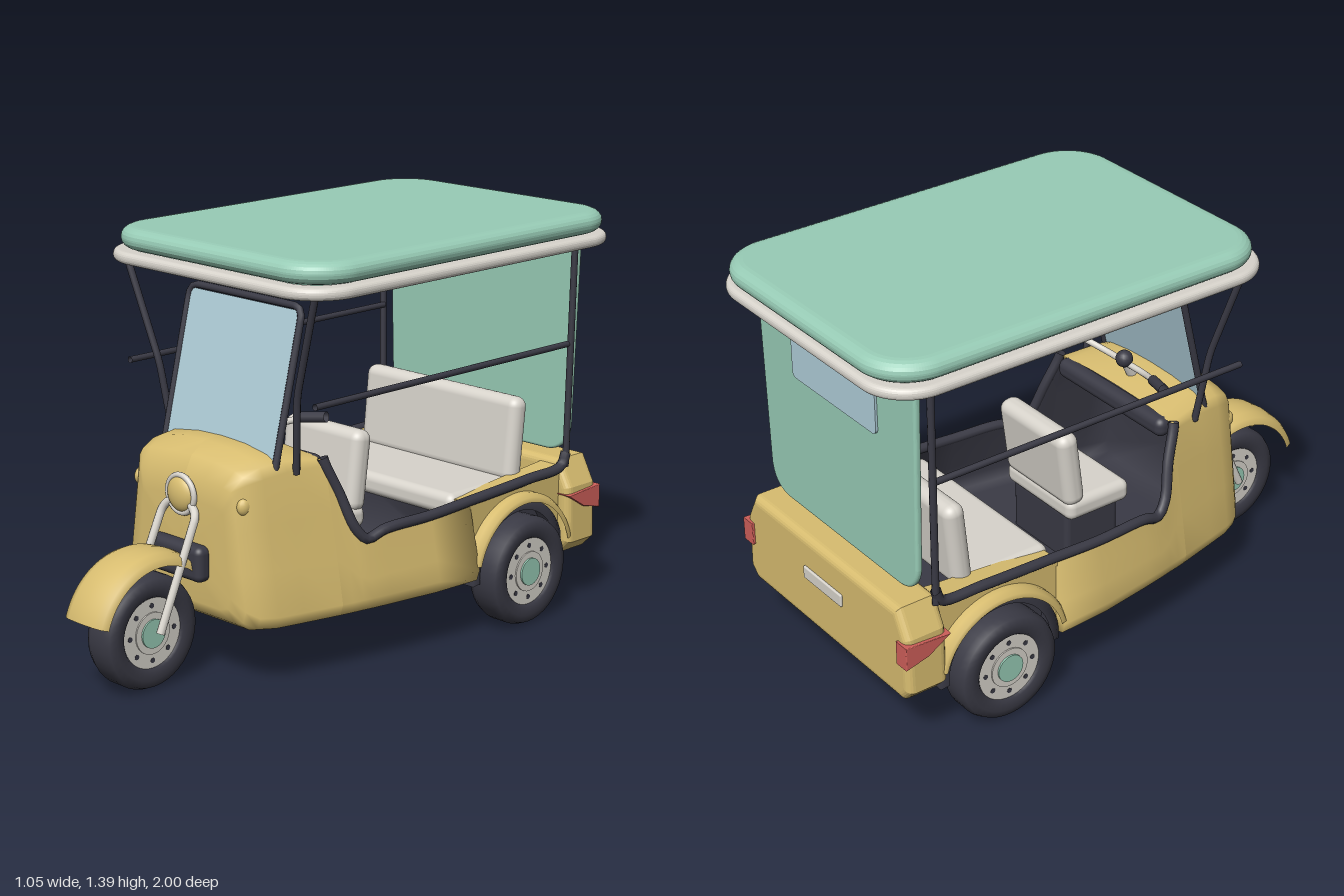
import * as THREE from 'three';
import { RoundedBoxGeometry } from 'three/addons/geometries/RoundedBoxGeometry.js';

const mat = (name, color) => {
  const m = new THREE.MeshStandardMaterial({ color, side: THREE.DoubleSide });
  m.name = name;
  return m;
};
const V = (x, y, z) => new THREE.Vector3(x, y, z);

export function createModel() {
  const model = new THREE.Group();
  model.name = 'threeWheeler';
  const ochre = mat('ochrePaint', 0xd8bd70), teal = mat('tealCanvas', 0x98ccb6);
  const pale = mat('paleGrey', 0xd8d4cc), dark = mat('darkGrey', 0x3a3a45);
  const glass = mat('paleGlass', 0xb0ced9), red = mat('lampRed', 0xd0605a);

  const add = (name, geo, material, x = 0, y = 0, z = 0, parent = model) => {
    const m = new THREE.Mesh(geo, material);
    m.name = name;
    m.position.set(x, y, z);
    parent.add(m);
    return m;
  };
  // Builds a left part and its mirror image
  const pair = (name, build) => {
    for (const s of [1, -1]) {
      const g = new THREE.Group();
      g.name = (s > 0 ? 'left' : 'right') + name;
      g.scale.x = s;
      build(g);
      model.add(g);
    }
  };
  const box = (name, w, h, d, r, material, x, y, z, tilt = 0) => {
    const m = add(name, new RoundedBoxGeometry(w, h, d, 4, r), material, x, y, z);
    m.rotation.x = tilt;
    return m;
  };
  // Tube along straight runs with rounded bends
  const rod = (name, pts, r, material, parent = model, bend = 0.04) => {
    const path = new THREE.CurvePath();
    let from = pts[0];
    for (let i = 1; i < pts.length; i++) {
      const p = pts[i];
      if (i === pts.length - 1) { path.add(new THREE.LineCurve3(from, p)); break; }
      const a = p.clone().add(from.clone().sub(p).setLength(bend));
      const b = p.clone().add(pts[i + 1].clone().sub(p).setLength(bend));
      path.add(new THREE.LineCurve3(from, a));
      path.add(new THREE.QuadraticBezierCurve3(a, p, b));
      from = b;
    }
    return add(name, new THREE.TubeGeometry(path, pts.length > 2 ? 70 : 2, r, 10), material, 0, 0, 0, parent);
  };
  // Lathe about the x axis; angles run from +z up to +y
  const spin = (profile, start = 0, sweep = Math.PI * 2) =>
    new THREE.LatheGeometry(profile.map(p => new THREE.Vector2(...p)), 40, start, sweep).rotateZ(Math.PI / 2);
  const roundRect = (w, h, r) => {
    const s = new THREE.Shape();
    s.moveTo(w, h - r).absarc(w - r, h - r, r, 0, Math.PI / 2);
    s.absarc(r - w, h - r, r, Math.PI / 2, Math.PI);
    s.absarc(r - w, r - h, r, Math.PI, Math.PI * 1.5);
    s.absarc(w - r, r - h, r, Math.PI * 1.5, Math.PI * 2);
    return s;
  };
  const poly = pts => new THREE.Shape(pts.map(p => new THREE.Vector2(...p)));
  const extrude = (shape, depth, bevel = 0, size = bevel) => new THREE.ExtrudeGeometry(shape, {
    depth, bevelEnabled: bevel > 0, bevelThickness: bevel, bevelSize: size, bevelSegments: 5, curveSegments: 16 });

  // Body: cross-sections [z, bottom, floor half width, shoulder half width, shoulder height, crown]
  const section = ([z, yb, wb, ws, ys, yt]) => {
    const h = [[0, yb], [wb - 0.05, yb], [wb - 0.012, yb + 0.012], [wb, yb + 0.05]];
    for (const t of [0.33, 0.66, 1]) h.push([wb + (ws - wb) * t, yb + 0.05 + (ys - yb - 0.05) * t]);
    if (yt !== undefined) for (const [a, b] of [[0.94, 0.45], [0.78, 0.72], [0.4, 0.94], [0, 1]]) h.push([ws * a, ys + (yt - ys) * b]);
    return [...h.slice(1).reverse().map(p => [-p[0], p[1], z]), ...h.map(p => [p[0], p[1], z])];
  };
  const loft = (rows, capFront, capBack) => {
    const secs = rows.map(section), n = secs[0].length, pos = secs.flat(2), idx = [];
    for (let i = 0; i < secs.length - 1; i++) for (let j = 0; j < n - 1; j++) {
      const a = i * n + j, c = a + n;
      idx.push(a, c, a + 1, a + 1, c, c + 1);
    }
    const cap = (row, flip) => {
      const m = pos.length / 3, o = row * n;
      pos.push(0, 0.42, rows[row][0]);
      for (let j = 0; j < n - 1; j++) idx.push(m, o + j + (flip ? 1 : 0), o + j + (flip ? 0 : 1));
    };
    if (capFront) cap(0, false);
    if (capBack) cap(rows.length - 1, true);
    const g = new THREE.BufferGeometry();
    g.setAttribute('position', new THREE.Float32BufferAttribute(pos, 3));
    g.setIndex(idx);
    g.computeVertexNormals();
    return g;
  };
  const cowl = [[0.572, 0.26, 0.22, 0.19, 0.58, 0.6], [0.56, 0.225, 0.28, 0.225, 0.64, 0.67],
    [0.53, 0.205, 0.315, 0.255, 0.68, 0.73], [0.47, 0.2, 0.34, 0.27, 0.69, 0.768],
    [0.38, 0.2, 0.362, 0.285, 0.7, 0.77], [0.24, 0.2, 0.395, 0.315, 0.7, 0.735]];
  const tub = [[0.24, 0.2, 0.395, 0.315, 0.7], [0.2, 0.2, 0.403, 0.34, 0.6], [0.16, 0.2, 0.41, 0.375, 0.48],
    [0.12, 0.2, 0.418, 0.388, 0.44], [0.05, 0.2, 0.43, 0.4, 0.46], [-0.15, 0.2, 0.46, 0.415, 0.465],
    [-0.335, 0.2, 0.47, 0.42, 0.475]];
  const inset = r => [r[0] + (r[0] < -0.3 ? 0.01 : 0), r[1] + 0.03, r[2] - 0.018, r[3] - 0.018, r[4] - 0.003,
    r[5] === undefined ? undefined : r[5] - 0.018];
  add('frontCowl', loft(cowl, true, false), ochre);
  add('lowerBody', loft(tub, false, true), ochre);
  add('cowlLining', loft(cowl.slice(3).map(inset), true, false), dark);
  add('cabinLining', loft(tub.map(inset), false, true), dark);
  box('dashRoll', 0.56, 0.07, 0.06, 0.028, dark, 0, 0.69, 0.235);

  // Rear chassis, side panels, arches and tail
  add('rearChassis', new THREE.BoxGeometry(0.7, 0.25, 0.47), dark, 0, 0.3, -0.565);
  const panel = new THREE.Shape();
  panel.moveTo(0.33, 0.2).lineTo(0.33, 0.475).lineTo(0.81, 0.515).lineTo(0.81, 0.2);
  panel.absarc(0.57, 0.2, 0.235, 0, Math.PI, false);
  pair('RearSide', g => {
    add('sidePanel', extrude(panel, 0.085).rotateY(Math.PI / 2), ochre, 0.34, 0, 0, g);
    add('wheelArch', spin([[0.232, -0.06], [0.262, -0.06], [0.262, 0.04], [0.25, 0.06], [0.232, 0.06]].map(([r, a]) => [r, -a]),
      0.25, Math.PI - 0.5), ochre, 0.41, 0.2, -0.57, g);
    add('archLiner', spin([[0.2, -0.04], [0.234, -0.04], [0.234, 0.05], [0.215, 0.05]], -0.08, Math.PI + 0.16), dark, 0.4, 0.2, -0.57, g);
    add('tailLamp', extrude(poly([[0.79, 0.412], [0.95, 0.42], [0.95, 0.345], [0.87, 0.365]]), 0.05, 0.004).rotateY(Math.PI / 2),
      red, 0.425, 0, 0, g);
  });
  add('tail', extrude(poly([[-0.42, 0.225], [-0.445, 0.25], [-0.44, 0.43], [-0.4, 0.505],
    [0.4, 0.505], [0.44, 0.43], [0.445, 0.25], [0.42, 0.225]]), 0.1, 0.027), ochre, 0, 0, -0.918);
  box('rearPlate', 0.22, 0.045, 0.012, 0.005, pale, 0, 0.4, -0.947);

  // Seats
  box('driverSeatPlinth', 0.3, 0.2, 0.22, 0.02, dark, 0, 0.31, 0.03);
  box('driverCushion', 0.36, 0.08, 0.26, 0.03, pale, 0, 0.43, 0.04);
  box('driverBackrest', 0.36, 0.28, 0.08, 0.035, pale, 0, 0.585, -0.07, -0.13);
  box('rearCushion', 0.72, 0.08, 0.32, 0.03, pale, 0, 0.45, -0.47);
  box('rearBackrest', 0.72, 0.3, 0.075, 0.035, pale, 0, 0.615, -0.655, -0.1);

  // Roof with trim and underside
  const flat = g => g.rotateX(-Math.PI / 2);
  add('roof', flat(extrude(roundRect(0.465, 0.685, 0.13), 0.006, 0.034, 0.045)), teal, 0, 1.36, -0.26);
  const ring = roundRect(0.505, 0.725, 0.15);
  ring.holes.push(roundRect(0.47, 0.69, 0.13));
  add('roofTrim', flat(extrude(ring, 0.004, 0.018)), pale, 0, 1.304, -0.253);
  add('roofUnderside', flat(extrude(roundRect(0.48, 0.7, 0.13), 0.02)), teal, 0, 1.3, -0.253);

  // Rear curtain and its window
  const curtain = new THREE.Shape();
  curtain.moveTo(-0.43, 1.3).lineTo(-0.41, 0.64).quadraticCurveTo(-0.4, 0.56, -0.32, 0.555);
  curtain.lineTo(0.32, 0.555).quadraticCurveTo(0.4, 0.56, 0.41, 0.64).lineTo(0.43, 1.3);
  add('rearCurtain', extrude(curtain, 0.004, 0.01), teal, 0, 0, -0.855);
  add('rearWindow', extrude(roundRect(0.235, 0.092, 0.02), 0.008), glass, 0, 1.13, -0.873);

  // Windscreen
  rod('windscreenFrame', [V(-0.262, 0.68, 0.42), V(-0.262, 1.215, 0.29), V(0.262, 1.215, 0.29), V(0.262, 0.68, 0.42)], 0.012, dark);
  const screen = add('windscreen', new THREE.BoxGeometry(0.52, 0.53, 0.006), glass, 0, 0.945, 0.356);
  screen.rotation.x = -0.238;

  // Frame rods, sill rails and handlebar grips
  pair('Frame', g => {
    const rail = [...tub.map(r => V(r[3] - 0.005, r[4] + 0.004, r[0])), V(0.43, 0.5, -0.62), V(0.435, 0.515, -0.79), V(0.437, 0.56, -0.81)];
    rail.unshift(V(0.305, 0.725, 0.245));
    add('sillRail', new THREE.TubeGeometry(new THREE.CatmullRomCurve3(rail), 60, 0.018, 10), dark, 0, 0, 0, g);
    rod('rearPost', [V(0.437, 0.51, -0.81), V(0.448, 1.3, -0.815)], 0.012, dark, g);
    rod('frontStrut', [V(0.442, 1.3, 0.412), V(0.325, 0.95, 0.377), V(0.292, 0.69, 0.348)], 0.012, dark, g);
    rod('sideBar', [V(0.437, 0.945, 0.41), V(0.437, 0.945, -0.81)], 0.011, dark, g);
    rod('grip', [V(0.2, 0.838, 0.24), V(0.29, 0.85, 0.212)], 0.018, dark, g);
    const lamp = add('indicator', new THREE.SphereGeometry(0.028, 16, 12), ochre, 0.245, 0.61, 0.53, g);
    lamp.scale.set(0.75, 1.1, 1);
    rod('forkLeg', [V(0.085, 0.2, 0.748), V(0.08, 0.56, 0.585), V(0.02, 0.6, 0.57)], 0.014, pale, g, 0.03);
  });
  rod('handlebar', [V(-0.22, 0.84, 0.235), V(-0.1, 0.8, 0.29), V(0.1, 0.8, 0.29), V(0.22, 0.84, 0.235)], 0.011, pale);
  rod('steeringColumn', [V(0, 0.64, 0.37), V(0, 0.82, 0.28)], 0.018, pale);
  add('steeringKnob', new THREE.SphereGeometry(0.03, 16, 12), dark, 0, 0.82, 0.28);

  // Headlamp and front block
  add('headlampRing', new THREE.TorusGeometry(0.062, 0.01, 10, 32), pale, 0, 0.61, 0.578);
  add('headlamp', new THREE.SphereGeometry(0.06, 24, 16), ochre, 0, 0.61, 0.575).scale.z = 0.5;
  box('frontBlock', 0.25, 0.12, 0.06, 0.025, dark, 0, 0.4, 0.587);

  // Front mudguard
  add('frontMudguard', spin([[0.225, -0.095], [0.25, -0.088], [0.262, -0.06], [0.267, 0], [0.262, 0.06], [0.25, 0.088], [0.225, 0.095]],
    0.3, 2.05), ochre, 0, 0.2, 0.75);

  // Wheels
  const wheel = (name, x, z, w) => {
    const g = new THREE.Group();
    g.name = name;
    g.position.set(x, 0.195, z);
    model.add(g);
    const disc = (part, r, width, m) => add(part, new THREE.CylinderGeometry(r, r, width, 32).rotateZ(Math.PI / 2), m, 0, 0, 0, g);
    add('tyre', spin([[0.115, -0.75], [0.125, -0.95], [0.155, -1], [0.18, -0.88], [0.19, -0.5], [0.19, 0.5],
      [0.18, 0.88], [0.155, 1], [0.125, 0.95], [0.115, 0.75]].map(([r, a]) => [r, a * w])), dark, 0, 0, 0, g);
    disc('rim', 0.12, w * 1.6, pale);
    disc('rimCentre', 0.07, w * 1.75, pale);
    disc('hub', 0.048, w * 1.95, teal);
    for (let i = 0; i < 8; i++) {
      const a = i * Math.PI / 4;
      add('rimHole', new THREE.CylinderGeometry(0.009, 0.009, w * 1.64, 10).rotateZ(Math.PI / 2), dark, 0, 0.092 * Math.sin(a), 0.092 * Math.cos(a), g);
    }
  };
  wheel('frontWheel', 0, 0.75, 0.06);
  wheel('rearLeftWheel', 0.435, -0.57, 0.063);
  wheel('rearRightWheel', -0.435, -0.57, 0.063);
  return model;
}
